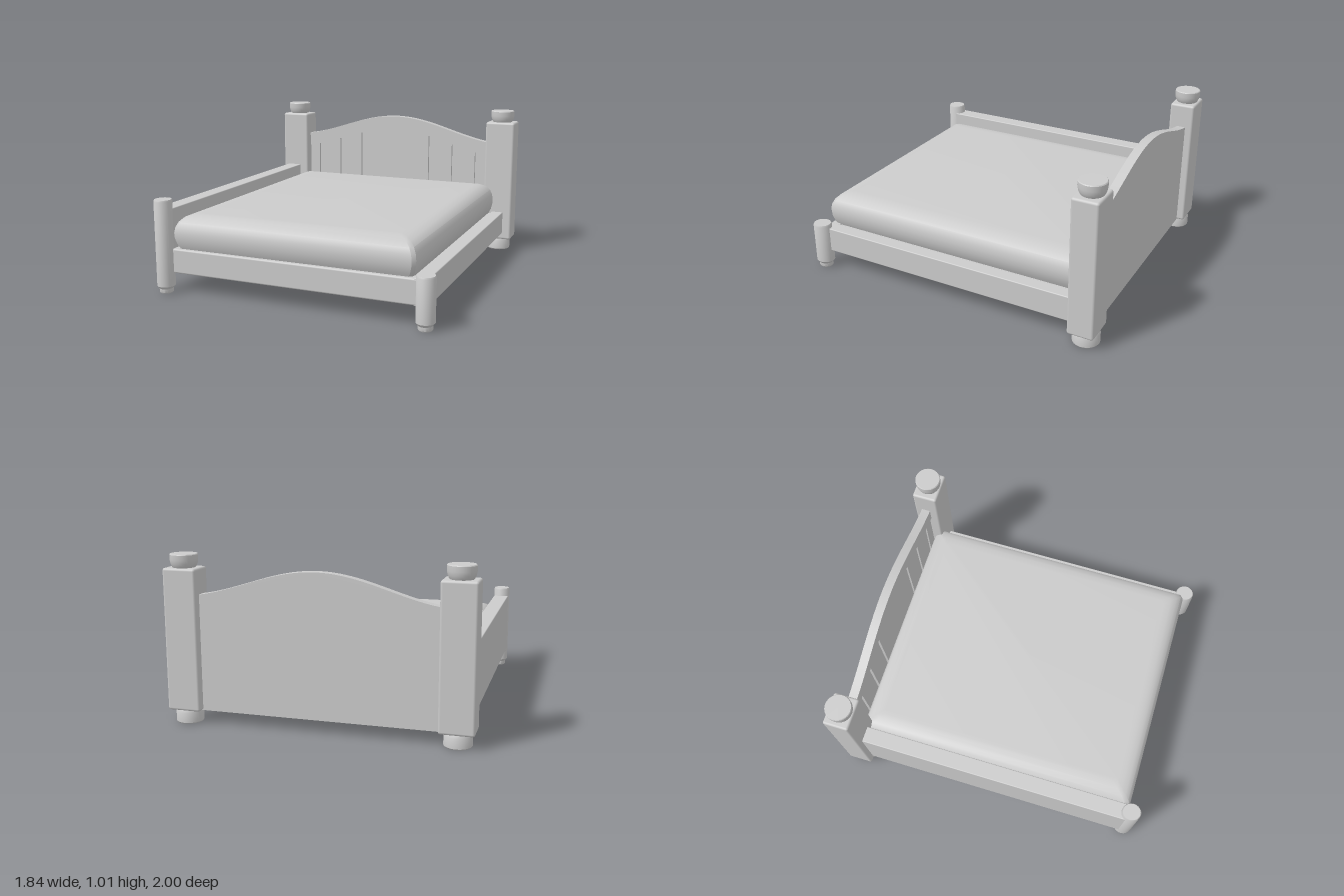
import * as THREE from 'three';
import { toCreasedNormals } from 'three/addons/utils/BufferGeometryUtils.js';
import { RoundedBoxGeometry } from 'three/addons/geometries/RoundedBoxGeometry.js';

const material = new THREE.MeshStandardMaterial({ color: 0xcccccc });

function add(parent, name, geometry, x = 0, y = 0, z = 0) {
  const mesh = new THREE.Mesh(geometry, material);
  mesh.name = name;
  mesh.position.set(x, y, z);
  parent.add(mesh);
  return mesh;
}

// Box given by its limits, with softened edges
function block(parent, name, x0, x1, y0, y1, z0, z1, r) {
  const geo = new RoundedBoxGeometry(x1 - x0, y1 - y0, z1 - z0, 2, r);
  return add(parent, name, geo, (x0 + x1) / 2, (y0 + y1) / 2, (z0 + z1) / 2);
}

function turned(points) {
  const profile = points.map(([r, y]) => new THREE.Vector2(r, y));
  return toCreasedNormals(new THREE.LatheGeometry(profile, 32), 0.6);
}

// Bell-shaped arch line of the headboard
const arch = (x) => 0.77 + 0.085 * (1 + Math.cos((Math.PI * x) / 0.85));
const innerArch = (x) => arch(x) - 0.096;

// Panel between x0 and x1, bounded by a lower and an upper line
function panel(x0, x1, lower, upper, z0, z1) {
  const n = Math.max(4, Math.round((x1 - x0) * 28));
  const pts = [];
  for (let i = 0; i <= n; i++) {
    const x = x0 + ((x1 - x0) * i) / n;
    pts.push(new THREE.Vector2(x, lower(x)));
  }
  for (let i = n; i >= 0; i--) {
    const x = x0 + ((x1 - x0) * i) / n;
    pts.push(new THREE.Vector2(x, upper(x)));
  }
  const geo = new THREE.ExtrudeGeometry(new THREE.Shape(pts), { depth: z1 - z0, bevelEnabled: false });
  geo.translate(0, 0, z0);
  return toCreasedNormals(geo, 0.5);
}

// Cushion lofted from chamfered rectangles; profile holds [inset, y] pairs
function cushion(x0, x1, z0, z1, profile, c) {
  const pos = [], index = [];
  for (const [inset, y] of profile) {
    const a = x0 + inset, b = x1 - inset, d = z0 + inset, e = z1 - inset;
    const ring = [[a + c, e], [b - c, e], [b, e - c], [b, d + c], [b - c, d], [a + c, d], [a, d + c], [a, e - c]];
    for (const [x, z] of ring) pos.push(x, y, z);
  }
  for (let r = 0; r < profile.length - 1; r++) {
    for (let i = 0; i < 8; i++) {
      const p = r * 8 + i, q = r * 8 + ((i + 1) % 8);
      index.push(p, q, q + 8, p, q + 8, p + 8);
    }
  }
  const top = (profile.length - 1) * 8;
  for (let i = 1; i < 7; i++) index.push(0, i + 1, i, top, top + i, top + i + 1);
  const geo = new THREE.BufferGeometry();
  geo.setAttribute('position', new THREE.Float32BufferAttribute(pos, 3));
  geo.setIndex(index);
  return toCreasedNormals(geo, 0.6);
}

export function createModel() {
  const bed = new THREE.Group();
  bed.name = 'bed';

  // Square head posts with turned feet and finials
  for (const side of [-1, 1]) {
    const post = new THREE.Group();
    post.name = side > 0 ? 'leftHeadPost' : 'rightHeadPost';
    post.position.set(side * 0.816, 0, -0.918);
    block(post, 'postShaft', -0.103, 0.103, 0.08, 0.935, -0.082, 0.082, 0.015);
    add(post, 'postFoot', turned([[0, 0], [0.077, 0], [0.082, 0.006], [0.082, 0.065], [0.072, 0.085], [0, 0.085]]));
    add(post, 'postFinial', turned([[0, 0.925], [0.06, 0.925], [0.07, 0.94], [0.078, 0.958], [0.082, 0.98],
      [0.082, 1.01], [0.078, 1.015], [0, 1.015]]));
    bed.add(post);
  }

  // Headboard: back board, arched rim and raised planks with gaps
  const headboard = new THREE.Group();
  headboard.name = 'headboard';
  add(headboard, 'backBoard', panel(-0.73, 0.73, () => 0.08, arch, -0.95, -0.925));
  add(headboard, 'archRim', panel(-0.73, 0.73, innerArch, arch, -0.925, -0.893));
  const edges = [-0.73, -0.63, -0.453, -0.272, 0.272, 0.453, 0.63, 0.73];
  for (let i = 0; i < edges.length - 1; i++) {
    add(headboard, 'plank', panel(edges[i] + 0.009, edges[i + 1] - 0.009, () => 0.1, innerArch, -0.925, -0.905));
  }
  bed.add(headboard);

  // Round foot posts, slightly oval, of two heights
  for (const [name, x, h] of [['rightFootPost', -0.83, 0.587], ['leftFootPost', 0.85, 0.31]]) {
    const post = add(bed, name, turned([[0, 0], [0.042, 0], [0.046, 0.006], [0.046, 0.028], [0.06, 0.045],
      [0.06, h - 0.01], [0.055, h], [0, h]]), x, 0, 0.938);
    post.scale.x = 0.92;
  }

  // Frame: base, tall right rail, low left rail and foot rail
  block(bed, 'base', -0.8, 0.8, 0.125, 0.27, -0.92, 0.915, 0.005);
  block(bed, 'rightRail', -0.88, -0.778, 0.122, 0.53, -0.9, 0.93, 0.006);
  block(bed, 'leftRail', 0.775, 0.858, 0.122, 0.282, -0.9, 0.93, 0.006);
  block(bed, 'footRail', -0.8, 0.8, 0.125, 0.278, 0.86, 0.932, 0.01);

  // Mattress with rolled edges
  const profile = [[0.03, 0.265], [0.012, 0.3], [0.002, 0.34], [0, 0.375], [0.006, 0.41],
    [0.022, 0.443], [0.05, 0.47], [0.085, 0.485], [0.125, 0.49]];
  add(bed, 'mattress', cushion(-0.778, 0.782, -0.9, 0.93, profile, 0.02));

  return bed;
}
